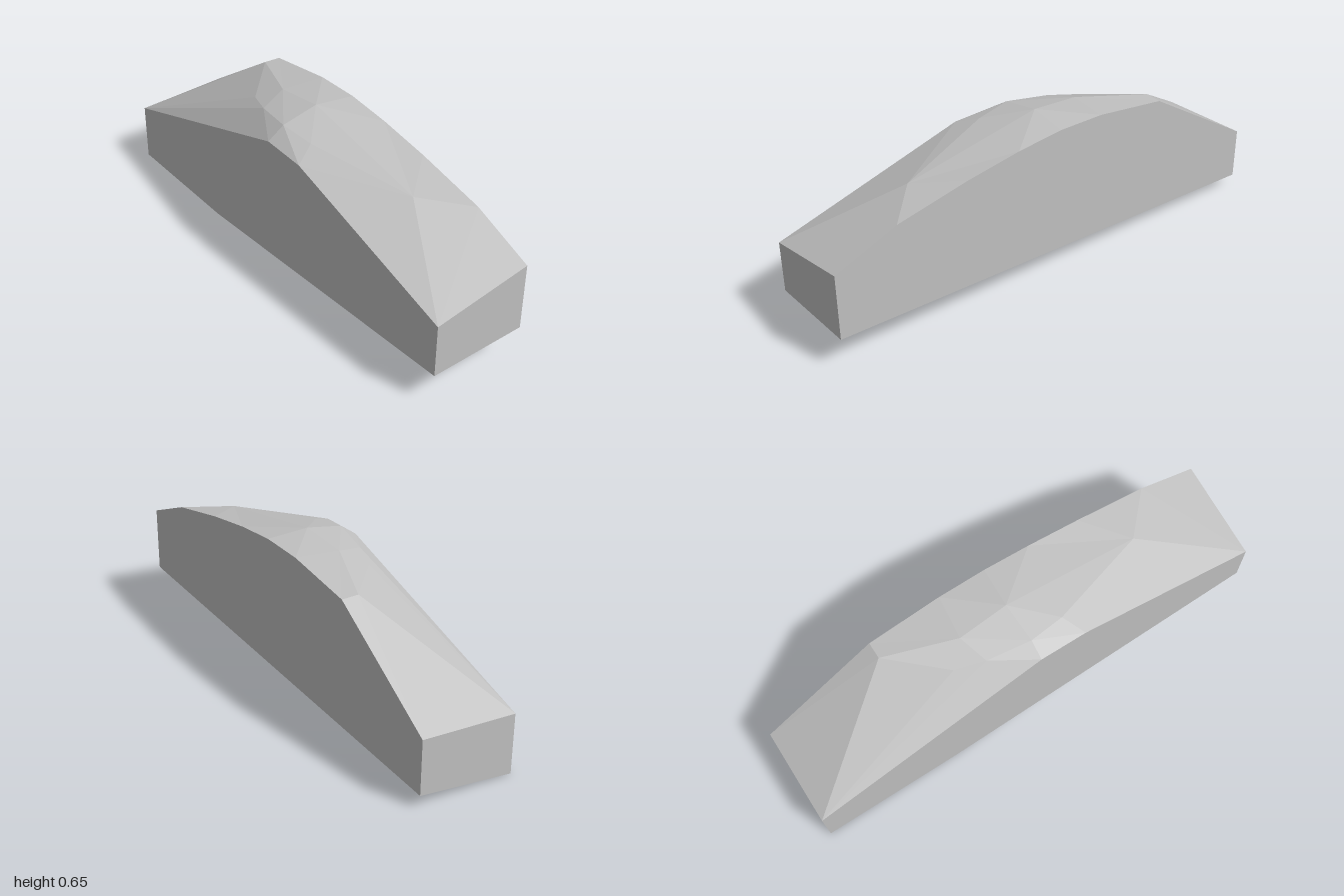
import * as THREE from 'three';

const stone = new THREE.MeshStandardMaterial({ color: 0xc0c0c0, flatShading: true });
stone.name = 'stone grey';

// Points on the front and back planes, given as [x, y]
const atDepth = (z, pts) => pts.map(([x, y]) => new THREE.Vector3(x, y, z));
// Convex polygon split into a fan of triangles
const fan = (pts) => pts.slice(2).map((p, i) => [pts[0], pts[i + 1], p]);

// Mesh from triangles, each turned to face the outward direction
function panel(name, triangles, outward) {
  const corners = [];
  const normal = new THREE.Vector3();
  for (const [a, b, c] of triangles) {
    new THREE.Triangle(a, b, c).getNormal(normal);
    corners.push(...(normal.dot(outward) < 0 ? [a, c, b] : [a, b, c]));
  }
  const geometry = new THREE.BufferGeometry().setFromPoints(corners);
  geometry.computeVertexNormals();
  const mesh = new THREE.Mesh(geometry, stone);
  mesh.name = name;
  return mesh;
}

export function createModel() {
  const group = new THREE.Group();
  group.name = 'facetedBlock';

  // Upper and lower edges of the two long walls, from -x to +x
  const F = atDepth(0.2, [[-1, 0.245], [0, 0.57], [0.2, 0.566], [1, 0.343]]);
  const K = atDepth(-0.2, [
    [-1, 0.27], [-0.51, 0.585], [-0.2, 0.63], [0, 0.635],
    [0.2, 0.617], [0.43, 0.583], [0.74, 0.522], [1, 0.422],
  ]);
  const f = atDepth(0.2, [[-1, 0], [-0.4, 0.008], [1, 0.125]]);
  const k = atDepth(-0.2, [[-1, 0.05], [1, 0.145]]);

  // Ridge points inside the roof
  const [A, B, C, D, P, Q, R, S] = [
    [-0.51, 0.587, -0.13], [-0.3, 0.578, 0.06], [-0.18, 0.597, 0.1], [-0.22, 0.625, -0.02],
    [-0.01, 0.648, -0.03], [0, 0.618, 0.13], [0.15, 0.603, 0.11], [0.58, 0.545, -0.03],
  ].map((p) => new THREE.Vector3(...p));

  const roof = [
    // sloping end at -x
    [F[0], K[0], A], [K[0], K[1], A], [F[0], A, B], [F[0], B, C], [F[0], C, F[1]],
    // crown
    [A, K[1], D], [K[1], K[2], D], [A, D, B], [B, D, C], [D, Q, C], [D, P, Q],
    [K[2], P, D], [K[2], K[3], P], [P, K[3], K[4]], [C, Q, F[1]], [Q, F[2], F[1]],
    // sloping end at +x
    [P, R, Q], [P, S, R], [P, K[4], S], [K[4], K[5], S], [K[5], K[6], S],
    [Q, R, F[2]], [R, S, F[2]], [S, F[3], F[2]], [S, K[6], F[3]], [K[6], K[7], F[3]],
  ];

  const dir = (x, y, z) => new THREE.Vector3(x, y, z);
  group.add(
    panel('roof', roof, dir(0, 1, 0)),
    panel('frontWall', fan([...f, ...[...F].reverse()]), dir(0, 0, 1)),
    panel('backWall', fan([...k, ...[...K].reverse()]), dir(0, 0, -1)),
    panel('leftEnd', fan([f[2], k[1], K[7], F[3]]), dir(1, 0, 0)),
    panel('rightEnd', fan([f[0], k[0], K[0], F[0]]), dir(-1, 0, 0)),
    panel('base', fan([k[1], k[0], f[0], f[1], f[2]]), dir(0, -1, 0)),
  );
  return group;
}
